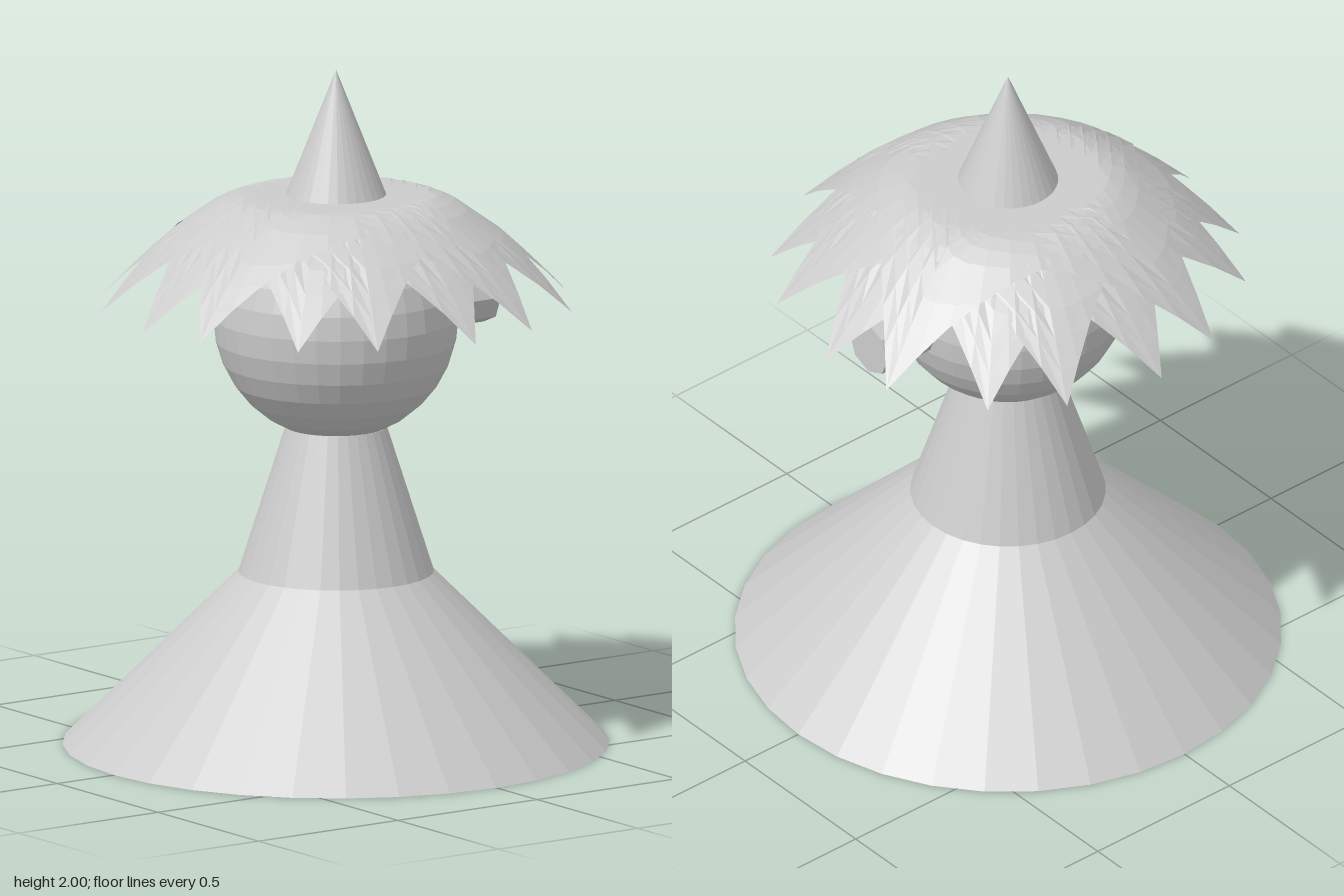
import * as THREE from 'three';

const grey = new THREE.MeshStandardMaterial({ color: 0xcccccc, flatShading: true });
const sheetGrey = new THREE.MeshStandardMaterial({ color: 0xcccccc, flatShading: true, side: THREE.DoubleSide });

// Drape of the hair: height as a function of distance from the axis
const DRAPE = [[0, 1.625], [0.29, 1.622], [0.36, 1.595], [0.5, 1.495], [0.6, 1.4], [0.7, 1.295]];
function drapeHeight(r) {
  for (let i = 1; i < DRAPE.length; i++) {
    const [r0, y0] = DRAPE[i - 1], [r1, y1] = DRAPE[i];
    if (r <= r1) return y0 + (y1 - y0) * (r - r0) / (r1 - r0);
  }
  return DRAPE[DRAPE.length - 1][1];
}

// Four-pointed star sheet, draped over the head
function starSheet(tip, valley, lift) {
  const outline = [], perEdge = 5, rings = 10;
  for (let k = 0; k < 8; k++) {
    const corner = (n) => {
      const r = n % 2 ? valley : tip, a = n * Math.PI / 4;
      return new THREE.Vector2(Math.cos(a) * r, Math.sin(a) * r);
    };
    for (let i = 0; i < perEdge; i++) outline.push(corner(k).lerp(corner(k + 1), i / perEdge));
  }
  const n = outline.length, pos = [], idx = [];
  for (let j = 0; j <= rings; j++) {
    for (const p of outline) {
      const x = p.x * j / rings, z = p.y * j / rings;
      pos.push(x, drapeHeight(Math.hypot(x, z)) + lift, z);
    }
  }
  for (let j = 0; j < rings; j++) {
    for (let i = 0; i < n; i++) {
      const a = j * n + i, b = j * n + (i + 1) % n;
      if (j > 0) idx.push(a, b, a + n);
      idx.push(b, b + n, a + n);
    }
  }
  const g = new THREE.BufferGeometry();
  g.setAttribute('position', new THREE.Float32BufferAttribute(pos, 3));
  g.setIndex(idx);
  g.computeVertexNormals();
  return g;
}

export function createModel() {
  const model = new THREE.Group();
  const add = (name, geometry, y = 0, material = grey, parent = model) => {
    const mesh = new THREE.Mesh(geometry, material);
    mesh.name = name;
    mesh.position.y = y;
    parent.add(mesh);
    return mesh;
  };

  // Flared skirt and tapering torso
  add('skirt', new THREE.CylinderGeometry(0.285, 0.797, 0.51, 32), 0.255);
  add('torso', new THREE.CylinderGeometry(0.148, 0.285, 0.43, 32), 0.725);

  // Head with a stubby nose on its +x side
  add('head', new THREE.SphereGeometry(0.357, 32, 16), 1.265);
  const nose = add('nose', new THREE.CylinderGeometry(0.085, 0.085, 0.28, 8), 1.27);
  nose.rotation.z = -Math.PI / 2;
  nose.position.x = 0.39;

  // Hair: two pairs of crossed star sheets
  const hair = new THREE.Group();
  hair.name = 'hair';
  model.add(hair);
  [0, 45, 25.7, 70.7].forEach((deg, i) => {
    const sheet = add('hairSheet', starSheet(0.695, 0.39, i * 0.002), 0, sheetGrey, hair);
    sheet.rotation.y = -THREE.MathUtils.degToRad(deg);
  });

  // Pointed hat
  add('hat', new THREE.ConeGeometry(0.148, 0.375, 32), 1.8125);
  return model;
}
